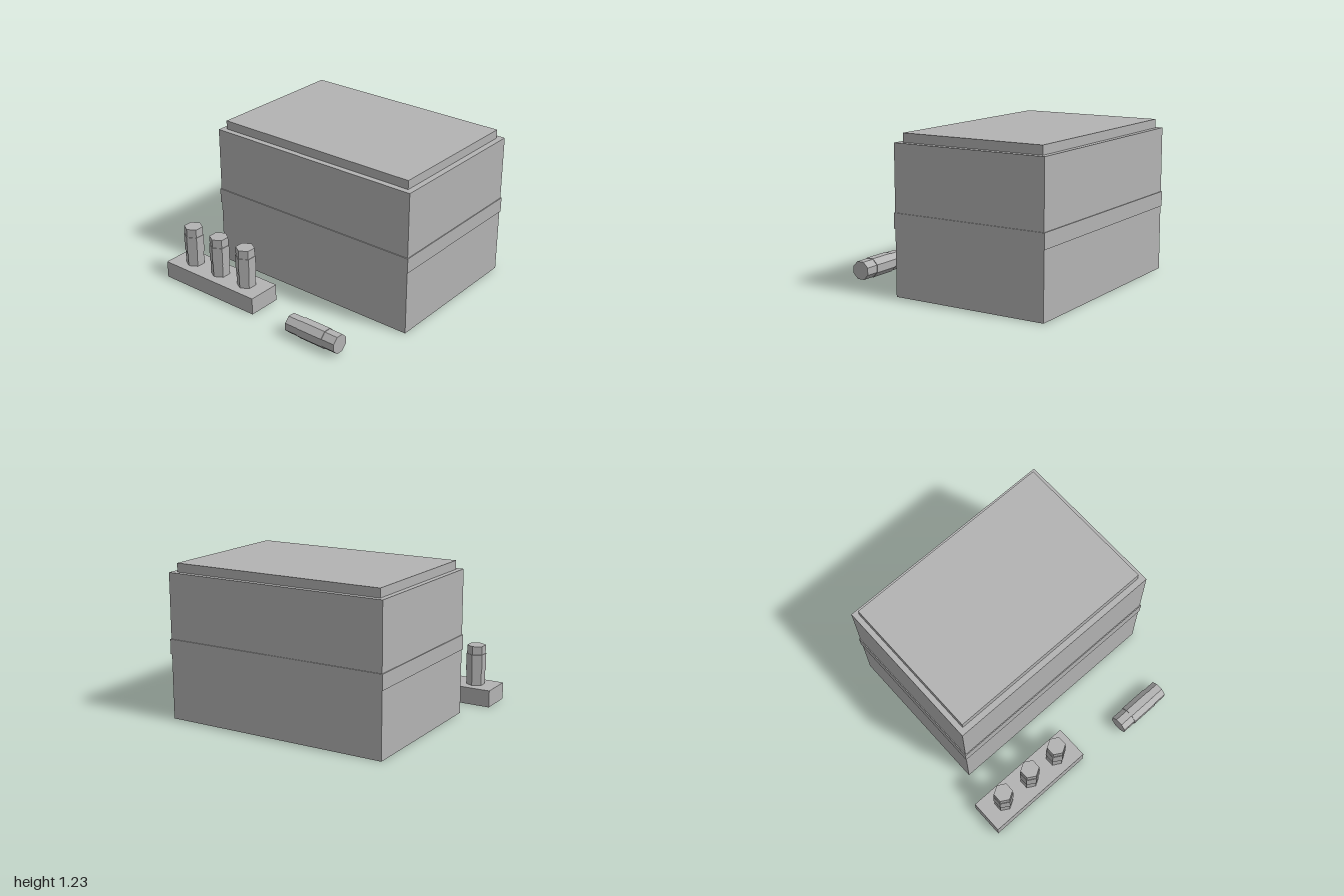
import * as THREE from 'three';

export function createModel() {
  const group = new THREE.Group();
  const grey = new THREE.MeshStandardMaterial({ color: 0xb3b3b3, flatShading: true });
  grey.name = 'plain grey';

  const add = (name, geometry, parent = group) => {
    const mesh = new THREE.Mesh(geometry, grey);
    mesh.name = name;
    parent.add(mesh);
    return mesh;
  };

  // Box given by its limits on each axis
  const block = (name, [x0, x1], [y0, y1], [z0, z1]) =>
    add(name, new THREE.BoxGeometry(x1 - x0, y1 - y0, z1 - z0))
      .position.set((x0 + x1) / 2, (y0 + y1) / 2, (z0 + z1) / 2);

  // Large crate with a raised lid and a thin band around the middle
  block('crateBody', [-0.86, 0.99], [0, 1.16], [-0.931, 0.342]);
  block('crateBand', [-0.867, 0.997], [0.52, 0.64], [-0.938, 0.349]);
  block('crateLid', [-0.817, 0.942], [1.16, 1.23], [-0.889, 0.295]);

  // Low holder for the upright sticks
  block('stickHolder', [-1, -0.075], [0, 0.138], [0.584, 0.86]);

  // Faceted stick along y, with a slightly wider sleeve
  const stick = (name, sides, length, radius, sleeveLength, sleeveY, turn) => {
    const part = new THREE.Group();
    part.name = name;
    add('stickBody', new THREE.CylinderGeometry(radius, radius, length, sides).rotateY(turn), part);
    const sleeve = new THREE.CylinderGeometry(radius + 0.005, radius + 0.005, sleeveLength, sides);
    add('stickSleeve', sleeve.rotateY(turn), part).position.y = sleeveY;
    group.add(part);
    return part;
  };

  // Three upright six-sided sticks
  for (const x of [-0.816, -0.538, -0.26]) {
    stick('uprightStick', 6, 0.345, 0.075, 0.145, 0.03, 0).position.set(x, 0.2925, 0.722);
  }

  // Loose eight-sided stick lying on the ground
  const loose = stick('lyingStick', 8, 0.46, 0.077, 0.23, 0, Math.PI / 8);
  loose.rotation.z = Math.PI / 2;
  loose.position.set(0.55, 0.085, 0.861);

  return group;
}
